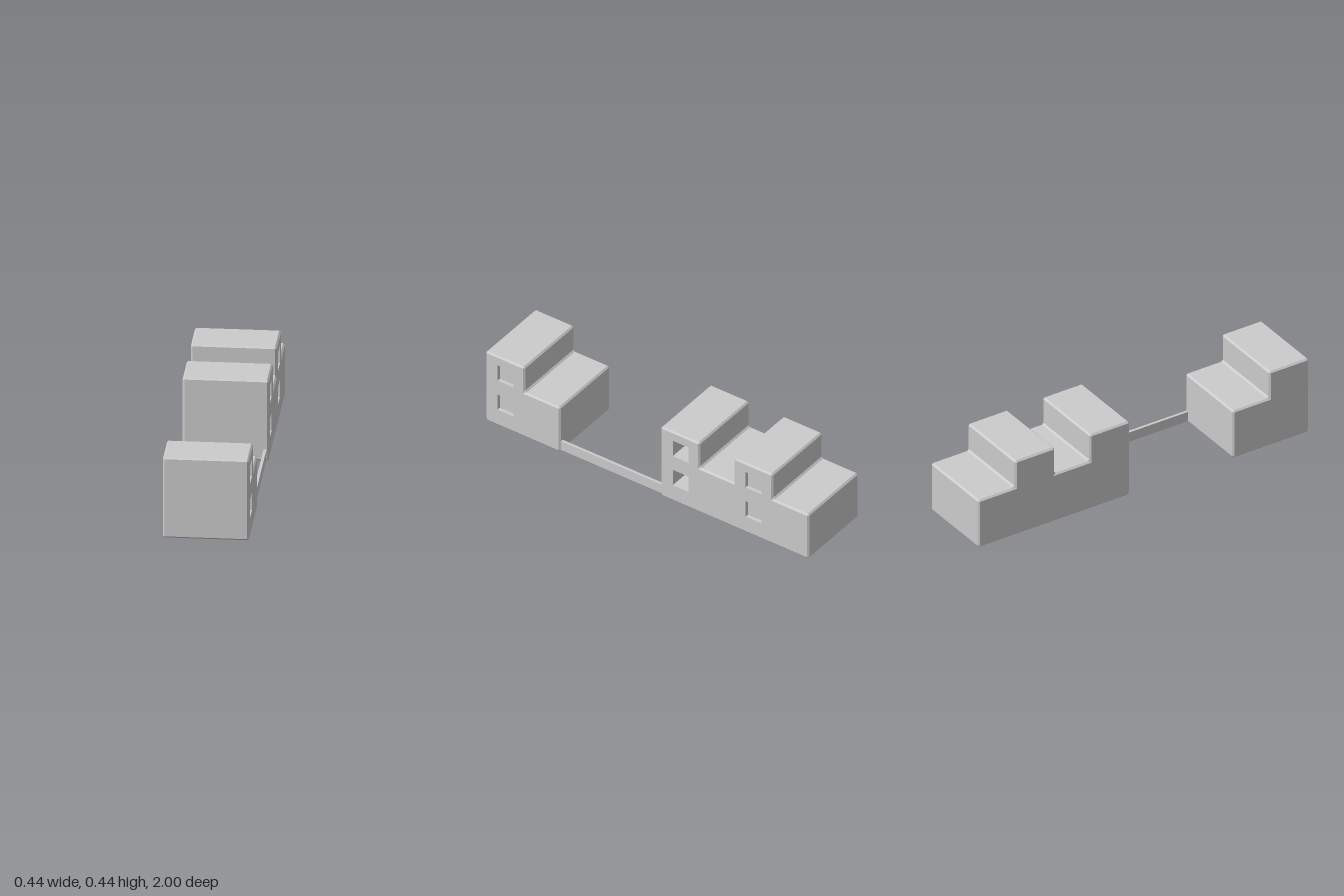
import * as THREE from 'three';

const HALF = 0.218, TALL = 0.437, STEP = 0.28, BEVEL = 0.009, PANE = 0.097;
const grey = new THREE.MeshStandardMaterial({ color: 0xcccccc, flatShading: true });
const inside = new THREE.MeshStandardMaterial({ color: 0xcccccc, flatShading: true, side: THREE.DoubleSide });

function addMesh(group, name, geometry, material = grey) {
  const mesh = new THREE.Mesh(geometry, material);
  mesh.name = name;
  group.add(mesh);
  return mesh;
}

// Chamfered walls of a right-angled outline (counter-clockwise), plus its inset face outline
function chamferedWalls(outline) {
  const n = outline.length, face = [], rim = [], inner = [];
  outline.forEach((p, i) => {
    const d0 = p.clone().sub(outline[(i + n - 1) % n]).normalize();
    const d1 = outline[(i + 1) % n].clone().sub(p).normalize();
    const n0 = new THREE.Vector2(d0.y, -d0.x), n1 = new THREE.Vector2(d1.y, -d1.x);
    const s = d0.cross(d1) > 0 ? BEVEL : -BEVEL;
    const c = p.clone().addScaledVector(n0, -BEVEL).addScaledVector(n1, -BEVEL);
    face.push(c);
    inner.push(c, c);
    rim.push(p.clone().addScaledVector(n1, -s), p.clone().addScaledVector(n0, -s));
  });
  const rings = [[inner, -HALF], [rim, BEVEL - HALF], [rim, HALF - BEVEL], [inner, HALF]];
  const pos = [];
  for (let r = 0; r < 3; r++) {
    const [lo, w0] = rings[r], [hi, w1] = rings[r + 1];
    for (let i = 0; i < lo.length; i++) {
      const j = (i + 1) % lo.length;
      const a = [lo[i].x, lo[i].y, w0], b = [lo[j].x, lo[j].y, w0];
      const c = [hi[j].x, hi[j].y, w1], d = [hi[i].x, hi[i].y, w1];
      if (lo[i] !== lo[j]) pos.push(...a, ...b, ...c);
      if (hi[i] !== hi[j]) pos.push(...a, ...c, ...d);
    }
  }
  const walls = new THREE.BufferGeometry();
  walls.setAttribute('position', new THREE.Float32BufferAttribute(pos, 3));
  walls.computeVertexNormals();
  return { walls, face };
}

// Stepped block; u runs towards the back. Each window is [u, y, depth] from its lower corner
function block(name, points, windows) {
  const group = new THREE.Group();
  group.name = name;
  const { walls, face } = chamferedWalls(points.map(([u, y]) => new THREE.Vector2(u, y)));
  addMesh(group, 'walls', walls);

  // Plain side
  const plain = addMesh(group, 'plainSide', new THREE.ShapeGeometry(
    new THREE.Shape(face.map(p => new THREE.Vector2(-p.x, p.y)))));
  plain.rotation.y = Math.PI;
  plain.position.z = -HALF;

  // Side with window openings and their recesses
  const side = new THREE.Shape(face);
  for (const [u, y, depth] of windows) {
    side.holes.push(new THREE.Path([
      new THREE.Vector2(u, y), new THREE.Vector2(u, y + PANE),
      new THREE.Vector2(u + PANE, y + PANE), new THREE.Vector2(u + PANE, y)]));
    const box = new THREE.BoxGeometry(PANE, PANE, depth);
    const index = [...box.index.array];
    index.splice(24, 6); // open towards the outside
    box.setIndex(index);
    addMesh(group, 'windowRecess', box, inside)
      .position.set(u + PANE / 2, y + PANE / 2, HALF - depth / 2);
  }
  addMesh(group, 'windowSide', new THREE.ShapeGeometry(side)).position.z = HALF;

  group.rotation.y = Math.PI / 2;
  return group;
}

export function createModel() {
  const model = new THREE.Group();
  model.name = 'steppedHouses';
  const windowPair = (front, depth) => [0.1, 0.284].map(y => [front + 0.075, y, depth]);

  // Single house at the front
  model.add(block('frontHouse', [
    [-1, 0], [-0.54, 0], [-0.54, STEP], [-0.76, STEP], [-0.76, TALL], [-1, TALL],
  ], windowPair(-1, 0.02)));

  // Two joined houses at the back
  model.add(block('rearHouses', [
    [0.085, 0], [1, 0], [1, STEP], [0.777, STEP], [0.777, TALL], [0.537, TALL],
    [0.537, STEP], [0.325, STEP], [0.325, TALL], [0.085, TALL],
  ], [...windowPair(0.085, 0.2), ...windowPair(0.537, 0.02)]));

  // Low wall linking them
  addMesh(model, 'linkingWall', new THREE.BoxGeometry(0.015, 0.055, 0.645))
    .position.set(0.2, 0.036, 0.2275);
  return model;
}
